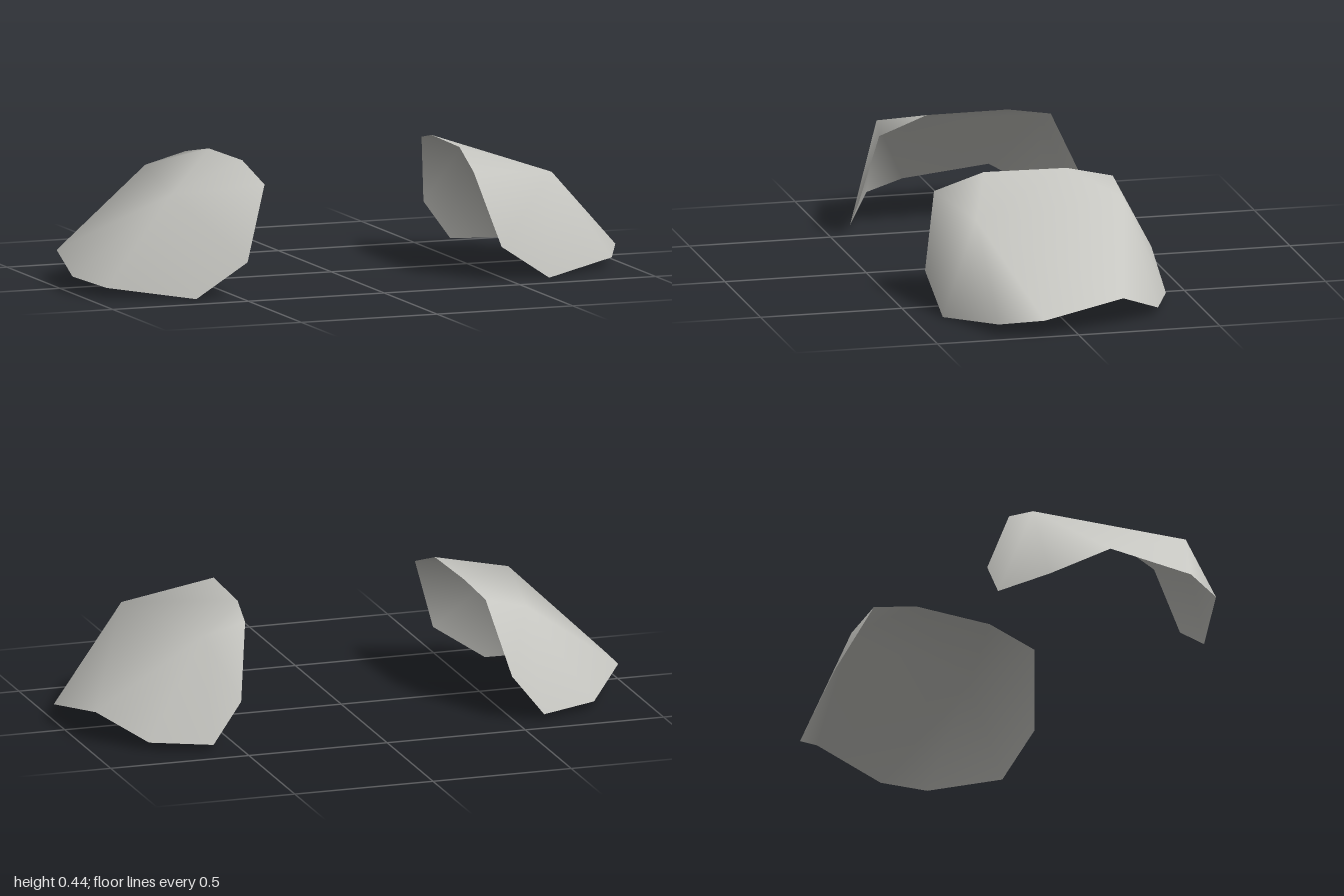
import * as THREE from 'three';

const shellGrey = new THREE.MeshStandardMaterial({ color: 0xc6c6c1, side: THREE.DoubleSide });
shellGrey.name = 'shellGrey';

// Rim of one curved pad, counterclockwise from above, starting at the front inner corner
const rim = [
  [0.385, 0.378, 0.357], [0.468, 0.12, 0.41], [0.65, 0.0, 0.393], [0.93, 0.036, 0.265],
  [1.0, 0.058, 0.12], [0.945, 0.105, -0.172], [0.805, 0.027, -0.33], [0.598, 0.022, -0.41],
  [0.49, 0.16, -0.386], [0.435, 0.406, -0.263], [0.41, 0.437, -0.105], [0.4, 0.438, 0.185],
];
// Two crown points where the top bends into the front, outer and back faces
const crowns = [[0.7, 0.35, 0.287], [0.585, 0.367, -0.26]];

const FRONT = rim.length, BACK = rim.length + 1;
const OUTER = 5, INNER = 10; // rim points where the two fans meet

function createPad(name, side) {
  const faces = [[FRONT, OUTER, BACK], [FRONT, BACK, INNER]];
  // Each crown point fans out to its own stretch of the rim
  for (let i = 0; i < rim.length; i++) {
    const crown = i >= OUTER && i < INNER ? BACK : FRONT;
    faces.push([crown, i, (i + 1) % rim.length]);
  }
  const points = [...rim, ...crowns].flatMap(([x, y, z]) => [side * x, y, z]);
  const geometry = new THREE.BufferGeometry();
  geometry.setAttribute('position', new THREE.Float32BufferAttribute(points, 3));
  // The mirrored pad needs reversed corners to keep facing outward
  geometry.setIndex(faces.flatMap(([a, b, c]) => (side > 0 ? [a, b, c] : [a, c, b])));
  geometry.computeVertexNormals();
  const mesh = new THREE.Mesh(geometry, shellGrey);
  mesh.name = name;
  return mesh;
}

export function createModel() {
  const group = new THREE.Group();
  group.name = 'shoulderPads';
  group.add(createPad('leftPad', 1), createPad('rightPad', -1));
  return group;
}
